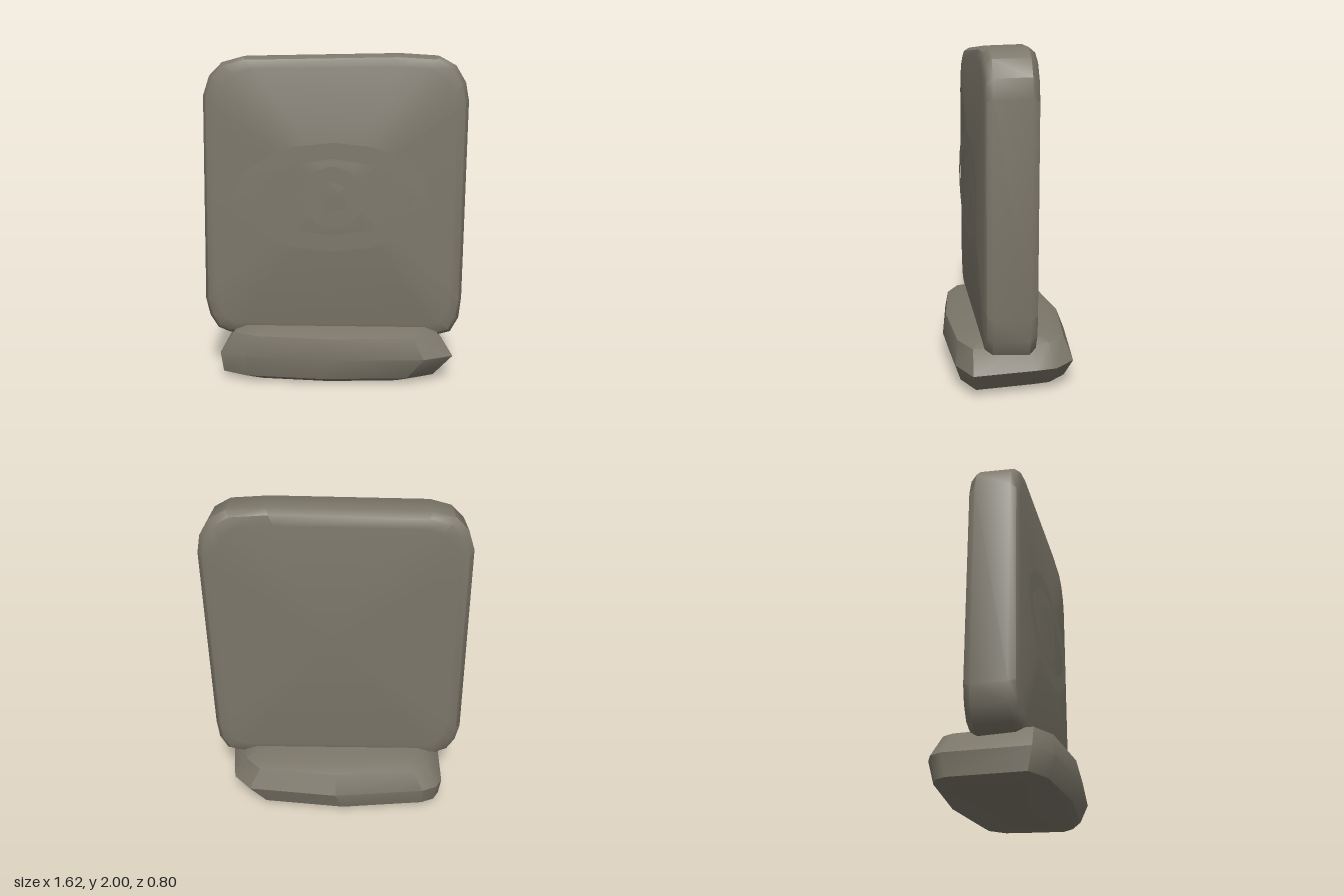
import * as THREE from 'three';
import { mergeVertices, toCreasedNormals } from 'three/addons/utils/BufferGeometryUtils.js';

// Skin a stack of counter-clockwise [x, y] loops, each at its own z, with fan caps.
function loft(layers, crease) {
  const n = layers[0].loop.length;
  const pos = [];
  const idx = [];
  for (const { loop, z } of layers) for (const [x, y] of loop) pos.push(x, y, z);
  for (let k = 0; k < layers.length - 1; k++) {
    for (let i = 0; i < n; i++) {
      const a = k * n + i, b = k * n + (i + 1) % n;
      idx.push(a, b, b + n, a, b + n, a + n);
    }
  }
  const last = layers.length - 1;
  for (const k of [0, last]) {
    const { loop, z } = layers[k];
    const c = pos.length / 3;
    pos.push(loop.reduce((s, p) => s + p[0], 0) / n, loop.reduce((s, p) => s + p[1], 0) / n, z);
    for (let i = 0; i < n; i++) {
      const a = k * n + i, b = k * n + (i + 1) % n;
      if (k === 0) idx.push(c, b, a);
      else idx.push(c, a, b);
    }
  }
  const geo = new THREE.BufferGeometry();
  geo.setAttribute('position', new THREE.Float32BufferAttribute(pos, 3));
  geo.setIndex(idx);
  return toCreasedNormals(mergeVertices(geo), crease);
}

const ellipse = (rx, ry, n) => Array.from({ length: n }, (_, i) => {
  const a = (i / n) * Math.PI * 2;
  return [rx * Math.cos(a), ry * Math.sin(a)];
});

// Flat ring with a small chipped notch at its right end.
function ring(outer, inner, notch) {
  const [x] = outer[0];
  const pts = [[x - notch, 0], [x - 0.015, 0.025], ...outer.slice(1), [x - 0.015, -0.025]];
  const toVec = ([px, py]) => new THREE.Vector2(px, py);
  const shape = new THREE.Shape(pts.map(toVec));
  shape.holes.push(new THREE.Path(inner.map(toVec)));
  return new THREE.ShapeGeometry(shape);
}

export function createModel() {
  const group = new THREE.Group();
  const stone = new THREE.MeshStandardMaterial({ color: 0x7b7669, side: THREE.DoubleSide });
  stone.name = 'weathered stone';
  const add = (name, geo) => {
    const mesh = new THREE.Mesh(geo, stone);
    mesh.name = name;
    group.add(mesh);
    return mesh;
  };

  // Upright slab: slightly uneven rounded outline, softened front and back rims
  const outline = [
    [0.66, 0.26], [0.73, 0.28], [0.78, 0.37], [0.795, 0.5],
    [0.81, 1.72], [0.79, 1.83], [0.73, 1.93], [0.63, 1.985], [0.4, 2],
    [-0.55, 1.985], [-0.68, 1.95], [-0.76, 1.87], [-0.8, 1.75],
    [-0.815, 0.48], [-0.79, 0.37], [-0.74, 0.29], [-0.67, 0.26],
  ];
  const slabLayer = (inset, z) => ({
    z,
    loop: outline.map(([x, y]) => [x * (1 - inset / 0.81), 1.13 + (y - 1.13) * (1 - inset / 0.87)]),
  });
  add('slab', loft([
    slabLayer(0.09, -0.1), slabLayer(0.03, -0.09), slabLayer(0, -0.05),
    slabLayer(0.008, 0.16), slabLayer(0.03, 0.195), slabLayer(0.08, 0.207),
  ], 0.75));

  // Rough plinth: faceted footprint, widest at mid height
  const footprint = [
    [0.73, -0.27], [0.69, 0.1], [0.67, 0.22], [0.56, 0.34], [0, 0.4], [-0.57, 0.34],
    [-0.66, 0.3], [-0.7, 0.23], [-0.705, -0.26], [-0.54, -0.345], [0, -0.395], [0.55, -0.355],
  ];
  const baseLayer = (sx, sz, dx, dz, y) => ({
    z: y,
    loop: footprint.map(([x, z]) => [x * sx + dx, z * sz + dz]),
  });
  const baseGeo = loft([
    baseLayer(0.76, 0.75, -0.03, 0, 0), baseLayer(0.91, 0.9, -0.05, 0, 0.035),
    baseLayer(1, 1, 0, 0, 0.165),
    baseLayer(0.88, 0.91, 0, -0.015, 0.295), baseLayer(0.77, 0.72, 0, -0.02, 0.325),
  ], 0.65);
  baseGeo.rotateX(-Math.PI / 2);
  add('base', baseGeo);

  // Eye emblem floating just in front of the slab
  const quarter = [[0.5, 0], [0.44, 0.075], [0.35, 0.14], [0.22, 0.2], [0, 0.235]];
  const upper = [...quarter, ...quarter.slice(0, 4).reverse().map(([x, y]) => [-x, y])];
  const almond = [...upper, ...upper.slice(1, -1).reverse().map(([x, y]) => [x, -y])];
  const lid = add('eyeOutline', ring(ellipse(0.6, 0.332, 16), almond, 0.05));
  const iris = add('irisRing', ring(ellipse(0.19, 0.19, 12), ellipse(0.093, 0.093, 8), 0.05));
  for (const part of [lid, iris]) part.position.set(-0.005, 1.137, 0.23);

  return group;
}
